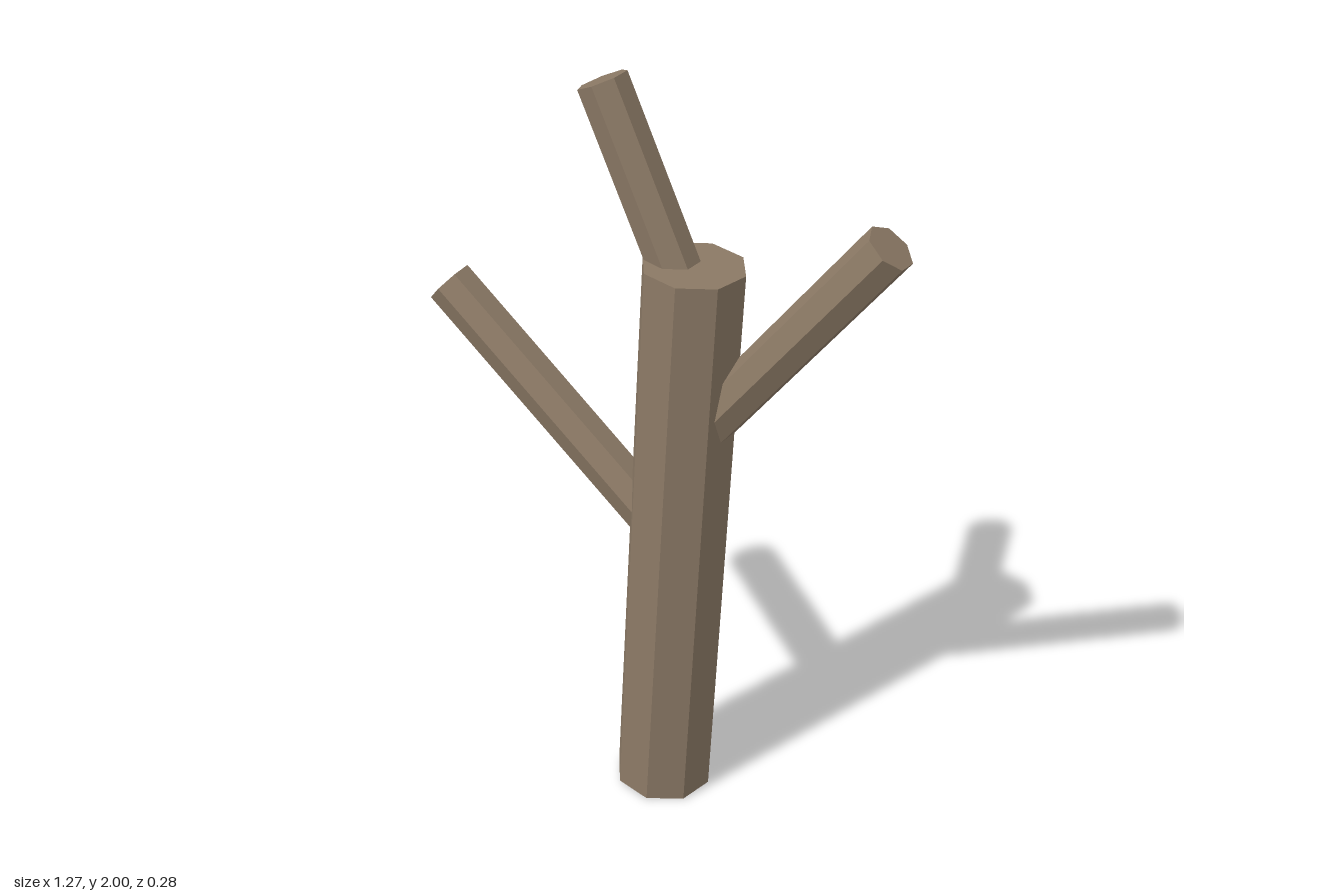
import * as THREE from 'three';

const UP = new THREE.Vector3(0, 1, 0);

// Straight faceted limb with flat ends between two points
function limb(name, from, to, radius, sides, material) {
  const a = new THREE.Vector3(...from);
  const b = new THREE.Vector3(...to);
  const mesh = new THREE.Mesh(
    new THREE.CylinderGeometry(radius, radius, a.distanceTo(b), sides), material);
  mesh.name = name;
  mesh.position.copy(a).add(b).multiplyScalar(0.5);
  mesh.quaternion.setFromUnitVectors(UP, b.sub(a).normalize());
  return mesh;
}

export function createModel() {
  const group = new THREE.Group();
  group.name = 'bareTree';
  const bark = new THREE.MeshStandardMaterial({ color: 0x8b7965, flatShading: true });
  bark.name = 'bark';

  // Leaning trunk
  group.add(limb('trunk', [0.021, 0.006, 0.01], [0.096, 1.56, 0.01], 0.131, 8, bark));

  // Branches grow from the trunk's axis
  const branches = [
    ['leftBranch', [0.071, 1.048, 0.01], [0.582, 1.706, 0.052]],
    ['rightBranch', [0.057, 0.762, 0.01], [-0.598, 1.357, -0.08]],
    ['topBranch', [0.09, 1.436, 0.006], [-0.153, 1.976, -0.038]],
  ];
  for (const [name, from, to] of branches) {
    group.add(limb(name, from, to, 0.0645, 7, bark));
  }
  return group;
}
